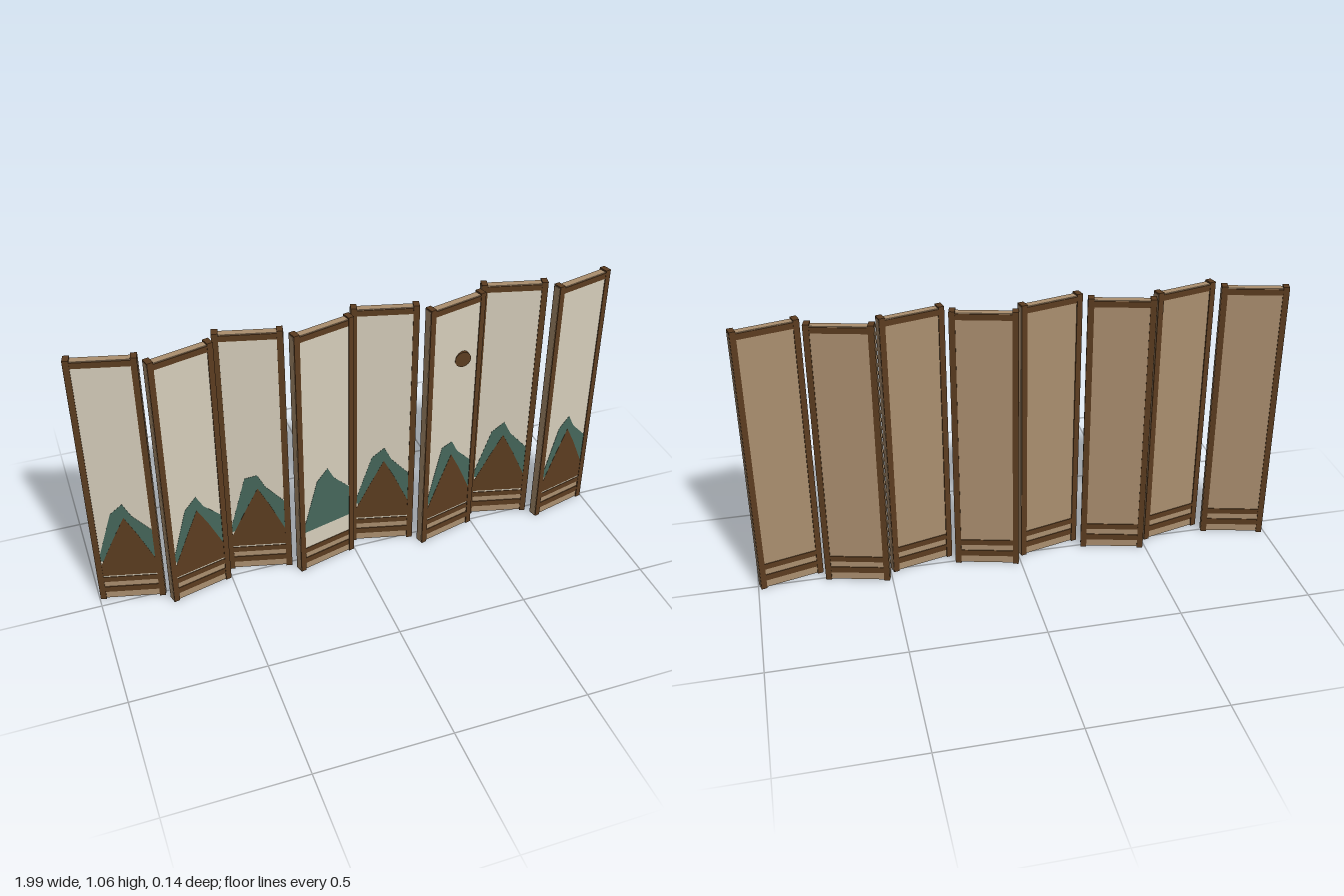
import * as THREE from 'three';

const mat = (name, color) => new THREE.MeshStandardMaterial({ name, color });

export function createModel() {
  const darkWood = mat('dark wood', 0x5c3d20);
  const tanWood = mat('tan wood', 0xab8f6f);
  const paper = mat('paper', 0xd6cebb);
  const teal = mat('teal paint', 0x46675b);

  const model = new THREE.Group();
  model.name = 'foldingScreen';

  const W = 0.245, T = 0.035, H = 1.06, POST = 0.022, CORE = 0.027;
  const inner = W - 2 * POST;

  const box = (parent, name, w, y0, y1, d, x, z, material) => {
    const mesh = new THREE.Mesh(new THREE.BoxGeometry(w, y1 - y0, d), material);
    mesh.position.set(x, (y0 + y1) / 2, z);
    mesh.name = name;
    parent.add(mesh);
  };

  // Thin painted silhouette lying on the paper
  const plate = (parent, name, points, z, material) => {
    const shape = new THREE.Shape(points.map(([x, y]) => new THREE.Vector2(x, y)));
    const mesh = new THREE.Mesh(
      new THREE.ExtrudeGeometry(shape, { depth: 0.001, bevelEnabled: false }), material);
    mesh.position.z = z;
    mesh.name = name;
    parent.add(mesh);
  };

  for (let i = 0; i < 8; i++) {
    const side = i % 2 ? 1 : -1;
    const panel = new THREE.Group();
    panel.name = 'panel' + (i + 1);
    panel.position.set(-0.875 + i * 0.25, 0, side * 0.025);
    panel.rotation.y = side * 0.25;
    model.add(panel);

    // Board, whose edges show at the ends and along the top
    box(panel, 'board', W, 0.003, 1.054, CORE, 0, 0, tanWood);

    // Frame posts and rails
    for (const s of [-1, 1])
      box(panel, 'post', POST, 0, H, T, s * (W / 2 - POST / 2 - 0.001), 0, darkWood);
    for (const [y0, y1] of [[0.034, 0.059], [0.084, 0.107], [1.028, 1.051]])
      box(panel, 'rail', inner + 0.004, y0, y1, T - 0.002, 0, 0, darkWood);

    // Paper face with painted mountains
    box(panel, 'paperFace', inner + 0.002, 0.106, 1.029, 0.001, 0, CORE / 2 + 0.0003, paper);
    const z = CORE / 2 + 0.0008;
    const shoulder = i % 3 === 2 ? 0.435 : 0.405;
    plate(panel, 'farMountain', [[-0.1, 0.185], [0.1, 0.185], [0.1, 0.322],
      [0.033, 0.393], [0.005, 0.448], [-0.042, shoulder], [-0.1, 0.215]], z, teal);
    if (i !== 3)
      plate(panel, 'nearMountain', [[-0.1, 0.114], [0.1, 0.114], [0.1, 0.188],
        [0.047, 0.305], [0.004, 0.387], [-0.045, 0.285], [-0.1, 0.165]], z + 0.0007, darkWood);
  }

  // Round disc on the sixth panel
  const disc = new THREE.Mesh(new THREE.CylinderGeometry(0.031, 0.031, 0.014, 32), darkWood);
  disc.rotation.x = Math.PI / 2;
  disc.position.set(0.408, 0.813, 0.034);
  disc.name = 'disc';
  model.add(disc);

  return model;
}
